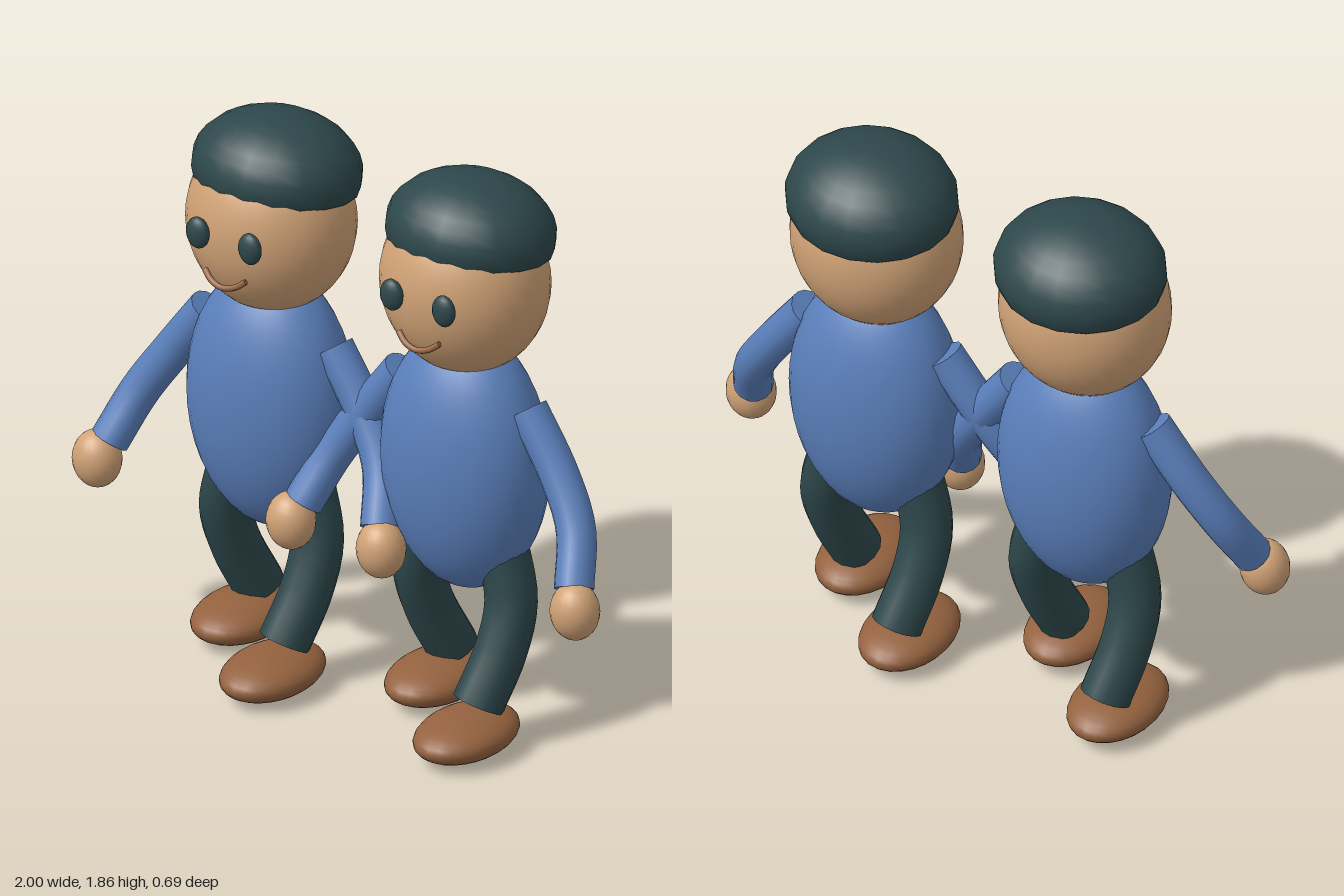
import * as THREE from 'three';

const paint = (name, color) => {
  const m = new THREE.MeshStandardMaterial({ color });
  m.name = name;
  return m;
};

export function createModel() {
  const skin = paint('skin', 0xd0a276);
  const blue = paint('shirtBlue', 0x5a7fbb);
  const dark = paint('darkTeal', 0x2d474b);
  const brown = paint('shoeBrown', 0x94623f);

  const add = (parent, name, geometry, material) => {
    const mesh = new THREE.Mesh(geometry, material);
    mesh.name = name;
    parent.add(mesh);
    return mesh;
  };

  // Ellipsoid given its centre and half sizes
  const ellipsoid = (parent, name, material, [x, y, z], [rx, ry, rz], segs = 24) => {
    const g = new THREE.SphereGeometry(1, segs, Math.round(segs * 0.7));
    g.scale(rx, ry, rz);
    add(parent, name, g, material).position.set(x, y, z);
  };

  // Bent tube with flat ends
  const limb = (parent, name, material, points, radius, segs = 14, sides = 14) => {
    const curve = new THREE.CatmullRomCurve3(points.map((p) => new THREE.Vector3(...p)));
    const group = new THREE.Group();
    group.name = name;
    parent.add(group);
    add(group, name + 'Tube', new THREE.TubeGeometry(curve, segs, radius, sides), material);
    for (const t of [0, 1]) {
      const cap = add(group, name + 'End', new THREE.CircleGeometry(radius, sides), material);
      const dir = curve.getTangentAt(t).multiplyScalar(t ? 1 : -1);
      cap.position.copy(curve.getPointAt(t));
      cap.quaternion.setFromUnitVectors(new THREE.Vector3(0, 0, 1), dir);
    }
  };

  const buildFigure = (name) => {
    const fig = new THREE.Group();
    fig.name = name;

    ellipsoid(fig, 'torso', blue, [0, 0.9, -0.07], [0.29, 0.44, 0.21], 32);
    ellipsoid(fig, 'head', skin, [0, 1.51, -0.07], [0.277, 0.3, 0.25], 32);

    // Cap: dome cut a little below its widest ring, tilted back
    const cut = 1.865;
    const dome = new THREE.SphereGeometry(1, 18, 9, 0, Math.PI * 2, 0, cut);
    const base = new THREE.CircleGeometry(Math.sin(cut), 18);
    base.rotateX(Math.PI / 2).translate(0, Math.cos(cut), 0);
    const cap = new THREE.Group();
    cap.name = 'cap';
    cap.position.set(0, 1.672, -0.1);
    cap.rotation.x = -0.13;
    cap.scale.set(0.28, 0.187, 0.249);
    add(cap, 'capDome', dome, dark);
    add(cap, 'capUnderside', base, dark);
    fig.add(cap);

    // Smile
    limb(fig, 'mouth', brown,
      [[-0.078, 1.402, 0.172], [-0.045, 1.378, 0.184], [0, 1.367, 0.19],
        [0.045, 1.378, 0.184], [0.078, 1.402, 0.172]], 0.01, 16, 8);

    for (const s of [-1, 1]) {
      const side = s > 0 ? 'left' : 'right';
      ellipsoid(fig, side + 'Eye', dark, [s * 0.1, 1.525, 0.18], [0.042, 0.053, 0.025], 16);

      limb(fig, side + 'Arm', blue,
        [[s * 0.24, 1.13, -0.07], [s * 0.37, 0.95, -0.055],
          [s * 0.465, 0.8, -0.015], [s * 0.52, 0.645, 0.07]], 0.063);
      ellipsoid(fig, side + 'Hand', skin, [s * 0.545, 0.588, 0.1], [0.081, 0.095, 0.075], 20);

      // Left leg steps forward, right leg steps back
      const step = (d) => -0.07 + s * d;
      limb(fig, side + 'Leg', dark,
        [[s * 0.14, 0.64, step(0)], [s * 0.187, 0.46, step(0.015)],
          [s * 0.185, 0.31, step(0.065)], [s * 0.155, 0.145, step(0.145)]], 0.083);
      ellipsoid(fig, side + 'Shoe', brown, [s * 0.156, 0.072, s * 0.138], [0.141, 0.07, 0.207]);
    }
    return fig;
  };

  const model = new THREE.Group();
  model.name = 'twoWalkingFigures';
  for (const s of [-1, 1]) {
    const fig = buildFigure(s > 0 ? 'leftFigure' : 'rightFigure');
    fig.position.x = s * 0.372;
    model.add(fig);
  }
  return model;
}
